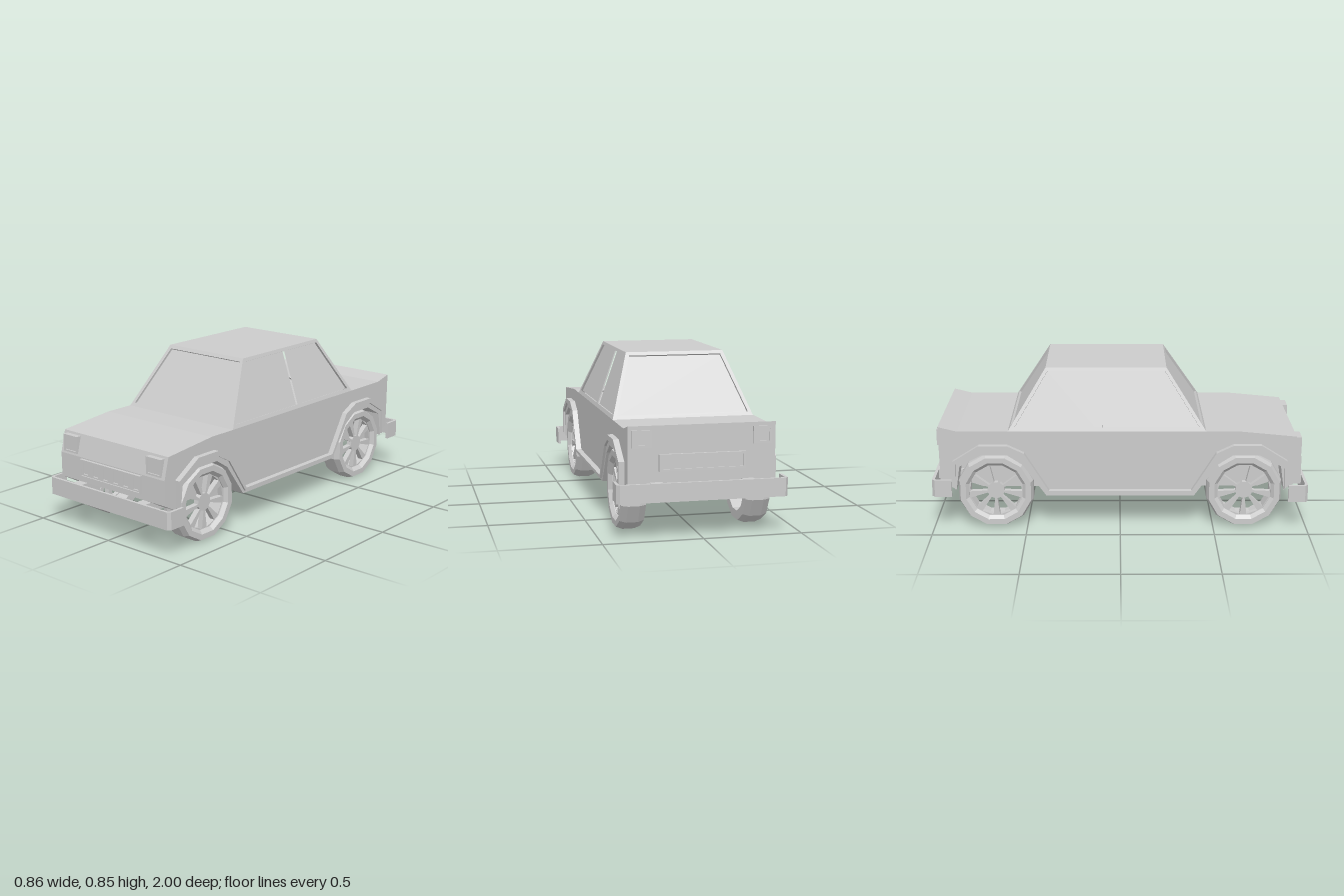
import * as THREE from 'three';

const material = new THREE.MeshStandardMaterial({ color: 0xcccccc, flatShading: true });

function add(parent, name, geometry) {
  const mesh = new THREE.Mesh(geometry, material);
  mesh.name = name;
  parent.add(mesh);
  return mesh;
}

const toPoints = (pts) => pts.map(([a, b]) => new THREE.Vector2(a, b));
const rect = (x0, x1, y0, y1) => [[x0, y0], [x1, y0], [x1, y1], [x0, y1]];

function extrude(pts, depth, holes = []) {
  const shape = new THREE.Shape(toPoints(pts));
  holes.forEach((h) => shape.holes.push(new THREE.Path(toPoints(h))));
  return new THREE.ExtrudeGeometry(shape, { depth, bevelEnabled: false });
}

// Side profile of [z, y] points, extruded from x0 to x1
const extrudeX = (pts, x0, x1) => extrude(pts, x1 - x0).rotateY(-Math.PI / 2).translate(x1, 0, 0);

// Upper and lower edges of a wheel arch, as [distance from the middle, y]
const archOuter = [[0.38, 0.21], [0.51, 0.42], [0.6, 0.463], [0.75, 0.463], [0.89, 0.375], [0.885, 0.23]];
const archInner = [[0.395, 0.18], [0.52, 0.355], [0.6, 0.407], [0.74, 0.407], [0.855, 0.345], [0.875, 0.21]];
const archMiddle = archOuter.map(([z, y], i) => [(z + archInner[i][0]) / 2, (y + archInner[i][1]) / 2]);
const bothArches = (arch) => [...arch.map(([z, y]) => [-z, y]).reverse(), ...arch];

function addBody(car) {
  const top = [[0.965, 0.26], [0.965, 0.39], [0.935, 0.505], [0.62, 0.535],
    [-0.865, 0.535], [-0.965, 0.56], [-0.96, 0.25]];
  const floor = [[-0.75, 0.18], [0.75, 0.18]];
  add(car, 'bodyCentre', extrudeX([...top, ...floor], -0.24, 0.24));
  const arched = [...top, ...bothArches(archInner)];
  add(car, 'bodySideLeft', extrudeX(arched, 0.24, 0.37));
  add(car, 'bodySideRight', extrudeX(arched, -0.37, -0.24));

  // Arch flares joined by the sill, with a set-back inner lip
  const band = (a, b) => [...bothArches(a), ...bothArches(b).reverse()];
  for (const s of [-1, 1]) {
    const span = (x) => (s > 0 ? [0.36, x] : [-x, -0.36]);
    add(car, 'archFlareAndSill', extrudeX(band(archOuter, archMiddle), ...span(0.4)));
    add(car, 'archLip', extrudeX(band(archMiddle, archInner), ...span(0.388)));
  }
}

// Sloping cabin wall with recessed windows; points are [across, y]
function addCabinWall(cabin, name, yaw, distance, run, outline, windows) {
  const rise = 0.32, length = Math.hypot(run, rise);
  const slope = (pts) => pts.map(([u, y]) => [u, (y - 0.535) * length / rise]);
  const place = (geometry) => geometry
    .rotateX(-Math.atan2(run, rise)).translate(0, 0.535, distance).rotateY(yaw);
  const depth = 0.014;
  const holes = windows.map(slope);
  add(cabin, name, place(extrude(slope(outline), depth, holes).translate(0, 0, -depth)));
  holes.forEach((hole) => {
    const glass = new THREE.ShapeGeometry(new THREE.Shape(toPoints(hole)));
    add(cabin, name + 'Window', place(glass.translate(0, 0, -depth + 0.002)));
  });
}

function addCabin(car) {
  const cabin = new THREE.Group();
  cabin.name = 'cabin';
  car.add(cabin);
  const endWall = [[-0.37, 0.535], [0.37, 0.535], [0.26, 0.855], [-0.26, 0.855]];
  const screen = [[-0.345, 0.553], [0.345, 0.553], [0.245, 0.838], [-0.245, 0.838]];
  addCabinWall(cabin, 'front', 0, 0.455, 0.21, endWall, [screen]);
  addCabinWall(cabin, 'rear', Math.PI, 0.595, 0.2, endWall, [screen]);
  const side = [[0.455, 0.535], [0.245, 0.855], [-0.395, 0.855], [-0.595, 0.535]];
  const doors = [
    [[0.42, 0.555], [0.237, 0.838], [-0.095, 0.838], [-0.095, 0.555]],
    [[-0.13, 0.555], [-0.13, 0.838], [-0.385, 0.838], [-0.56, 0.555]],
  ];
  for (const s of [-1, 1]) {
    const flip = (pts) => pts.map(([z, y]) => [-s * z, y]);
    addCabinWall(cabin, s > 0 ? 'leftSide' : 'rightSide', s * Math.PI / 2, 0.37, 0.11,
      flip(side), doors.map(flip));
  }
  add(cabin, 'roof', new THREE.BoxGeometry(0.52, 0.02, 0.64).translate(0, 0.845, -0.075));
}

function makeWheel() {
  const wheel = new THREE.Group();
  const profile = [[0.147, -0.0625], [0.195, -0.0625], [0.207, -0.03], [0.207, 0.03],
    [0.195, 0.0625], [0.165, 0.0625], [0.147, 0.045], [0.147, -0.0625]];
  add(wheel, 'tyre', new THREE.LatheGeometry(toPoints(profile), 12, Math.PI / 12).rotateZ(-Math.PI / 2));

  // Rim disc with nine wedge openings between the spokes
  const disc = [], gaps = [];
  for (let i = 0; i < 12; i++) {
    const a = (i + 0.5) * Math.PI / 6;
    disc.push([0.15 * Math.cos(a), 0.15 * Math.sin(a)]);
  }
  for (let i = 0; i < 9; i++) {
    const a = Math.PI / 2 + i * Math.PI * 2 / 9, c = Math.cos(a), s = Math.sin(a);
    gaps.push([[0.045, -0.01], [0.137, -0.031], [0.137, 0.031], [0.045, 0.01]]
      .map(([r, w]) => [r * c - w * s, r * s + w * c]));
  }
  add(wheel, 'spokedRim', extrude(disc, 0.03, gaps).rotateY(Math.PI / 2).translate(0.01, 0, 0));
  return wheel;
}

function addWheels(car) {
  for (const [end, z] of [['front', 0.665], ['rear', -0.667]]) {
    for (const s of [-1, 1]) {
      const wheel = makeWheel();
      wheel.name = end + (s > 0 ? 'LeftWheel' : 'RightWheel');
      wheel.position.set(s * 0.3175, 0.2, z);
      if (s < 0) wheel.rotation.y = Math.PI;
      car.add(wheel);
    }
  }
}

// Wrap-around bumper with two brackets
function addBumper(car, name, yaw, y0, y1) {
  const half = [[0.415, 1], [0.43, 0.985], [0.43, 0.895], [0.415, 0.895], [0.415, 0.978], [0.408, 0.985]];
  const outline = [...half, ...half.map(([x, z]) => [-x, z]).reverse()];
  const bumper = new THREE.Group();
  bumper.name = name;
  bumper.rotation.y = yaw;
  add(bumper, 'bar', extrude(outline, y1 - y0).rotateX(Math.PI / 2).translate(0, y1, 0));
  for (const s of [-1, 1]) {
    add(bumper, 'bracket', new THREE.BoxGeometry(0.06, 0.05, 0.14).translate(s * 0.23, y1 - 0.025, 0.92));
  }
  car.add(bumper);
}

// Raised rectangular frame around a set-back panel
function addFramed(parent, name, [x0, x1, y0, y1], border, zBack, zFront, holes = []) {
  const inner = rect(x0 + border, x1 - border, y0 + border, y1 - border);
  add(parent, name + 'Frame', extrude(rect(x0, x1, y0, y1), zFront - zBack, [inner]).translate(0, 0, zBack));
  const depth = zFront - zBack - 0.007;
  add(parent, name + 'Panel', extrude(inner, depth, holes).translate(0, 0, zBack));
}

function addEnds(car) {
  // Headlights and slotted grille
  const front = new THREE.Group();
  front.name = 'frontFittings';
  const slots = [];
  for (let i = 0; i < 6; i++) {
    const x = (i - 2.5) * 0.0725;
    slots.push(rect(x - 0.018, x + 0.018, 0.306, 0.372));
  }
  addFramed(front, 'grille', [-0.217, 0.217, 0.29, 0.385], 0.008, 0.955, 0.981, slots);
  // Tail lights and plate holder
  const rear = new THREE.Group();
  rear.name = 'rearFittings';
  rear.rotation.y = Math.PI;
  addFramed(rear, 'plate', [-0.217, 0.217, 0.335, 0.42], 0.012, 0.95, 0.978);
  for (const s of [-1, 1]) {
    const span = (a, b) => (s > 0 ? [a, b] : [-b, -a]);
    addFramed(front, 'headlight', [...span(0.247, 0.347), 0.402, 0.493], 0.009, 0.92, 0.967);
    addFramed(rear, 'tailLight', [...span(0.255, 0.35), 0.455, 0.54], 0.011, 0.95, 0.974);
  }
  car.add(front, rear);
}

export function createModel() {
  const car = new THREE.Group();
  car.name = 'car';
  addBody(car);
  addCabin(car);
  addWheels(car);
  addBumper(car, 'frontBumper', 0, 0.157, 0.25);
  addBumper(car, 'rearBumper', Math.PI, 0.19, 0.283);
  addEnds(car);
  return car;
}
